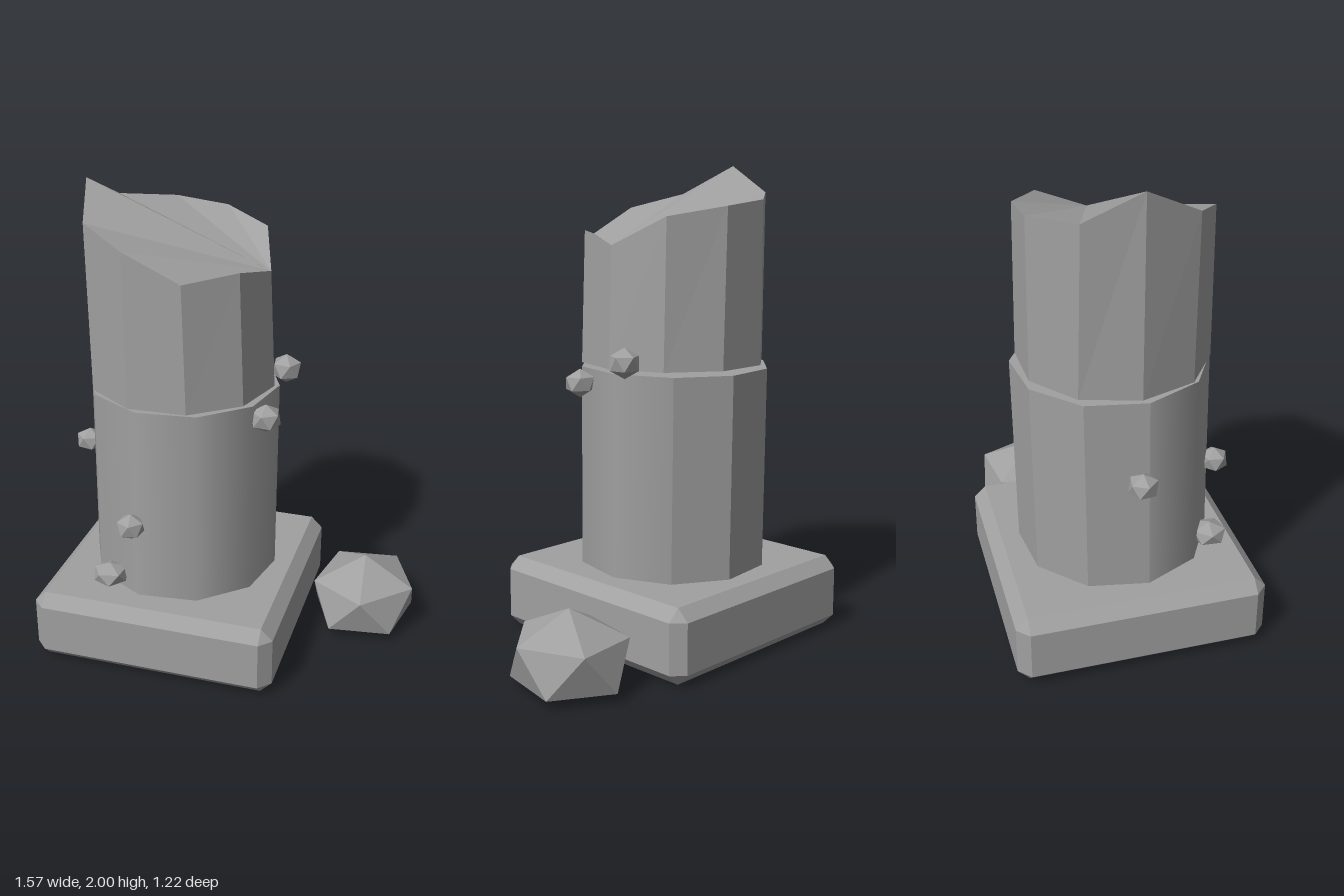
import * as THREE from 'three';
import { ConvexGeometry } from 'three/addons/geometries/ConvexGeometry.js';

const stone = new THREE.MeshStandardMaterial({ color: 0xa0a0a0 });
stone.name = 'grey stone';
const deg = Math.PI / 180;
const V = (x, y, z) => new THREE.Vector3(x, y, z);

function add(parent, name, geometry, x = 0, y = 0, z = 0) {
  const mesh = new THREE.Mesh(geometry, stone);
  mesh.name = name;
  mesh.position.set(x, y, z);
  parent.add(mesh);
  return mesh;
}

// Box with every edge and corner cut off flat
function chamferedBox(w, h, d, c) {
  const pts = [];
  for (const sx of [-1, 1]) for (const sy of [-1, 1]) for (const sz of [-1, 1]) {
    const [x, y, z] = [sx * w / 2, sy * h / 2, sz * d / 2];
    pts.push(
      V(x, y - sy * c, z - sz * c),
      V(x - sx * c, y, z - sz * c),
      V(x - sx * c, y - sy * c, z));
  }
  return new ConvexGeometry(pts);
}

// Twenty-sided pebble with a vertex on top; nothing reaches below the floor
function pebble(rx, ry, rz, turn = 0, floor = -1) {
  const pts = [V(0, ry, 0)];
  if (floor < -ry) pts.push(V(0, -ry, 0));
  for (let i = 0; i < 10; i++) {
    const a = turn + i * 36 * deg;
    const y = (i % 2 ? -0.447 : 0.447) * ry;
    pts.push(V(0.894 * rx * Math.cos(a), Math.max(y, floor), 0.894 * rz * Math.sin(a)));
  }
  return new ConvexGeometry(pts);
}

// Ten-sided drum, rounded in shading at the front and faceted at the back
function lowerDrum() {
  const group = new THREE.Group();
  group.name = 'lowerDrum';
  const r = 0.405, h = 0.85;
  add(group, 'roundedSide',
    new THREE.CylinderGeometry(r, r, h, 6, 1, true, -72 * deg, 216 * deg), 0, h / 2);
  const facets = new THREE.CylinderGeometry(r, r, h, 4, 1, true, 144 * deg, 144 * deg).toNonIndexed();
  facets.computeVertexNormals();
  add(group, 'facetedSide', facets, 0, h / 2);
  add(group, 'drumTop', new THREE.CircleGeometry(r, 10, Math.PI / 2), 0, h).rotation.x = -Math.PI / 2;
  add(group, 'drumBottom', new THREE.CircleGeometry(r, 10, Math.PI / 2)).rotation.x = Math.PI / 2;
  return group;
}

// Ten-sided drum with a jagged, slanting broken top
function brokenDrum() {
  const top = [
    [-0.555, 2.0, 0.09], [-0.437, 1.88, 0.3], [-0.213, 1.82, 0.387], [0.015, 1.71, 0.335],
    [0.17, 1.73, 0.155], [0.19, 1.675, -0.08], [0.07, 1.79, -0.29], [-0.16, 1.83, -0.38],
    [-0.38, 1.855, -0.33], [-0.55, 1.885, -0.14],
  ].map(p => V(...p));
  const n = top.length;
  const bottom = top.map((_, i) => {
    const a = (-77 + 36 * i) * deg;
    return V(-0.172 + 0.393 * Math.sin(a), 1.18, 0.393 * Math.cos(a));
  });
  const pts = [];
  for (let i = 0; i < n; i++) {
    const j = (i + 1) % n;
    pts.push(bottom[i], bottom[j], top[j], bottom[i], top[j], top[i]);
  }
  // Break surface fans out from its lowest corner
  for (let k = 1; k < n - 1; k++) {
    const a = (5 + k) % n, b = (6 + k) % n;
    pts.push(top[5], top[a], top[b], bottom[5], bottom[b], bottom[a]);
  }
  const geometry = new THREE.BufferGeometry().setFromPoints(pts);
  geometry.computeVertexNormals();
  return geometry;
}

export function createModel() {
  const model = new THREE.Group();
  model.name = 'brokenColumn';

  // Plinth
  add(model, 'plinth', chamferedBox(1.054, 0.312, 1.054, 0.05), -0.172, 0.156, 0).rotation.y = 11.5 * deg;

  // Shaft, its lower drum leaning slightly
  const drum = lowerDrum();
  drum.position.set(-0.172, 0.317, 0);
  drum.rotation.x = -0.012;
  model.add(drum);
  add(model, 'brokenUpperDrum', brokenDrum());

  // Large fallen stone beside the plinth
  add(model, 'fallenStone', pebble(0.255, 0.2, 0.272, 0, -0.08), 0.56, 0.12, -0.35);

  // Chips sticking out of the shaft: x, y, z, radius, height, turn
  const chips = [
    [-0.6, 0.825, 0.09, 0.065, 0.055, 0.3],
    [-0.185, 0.667, 0.43, 0.063, 0.057, 1.2],
    [-0.315, 0.385, 0.4, 0.08, 0.052, 0.5],
    [0.25, 1.107, 0.07, 0.068, 0.06, 0.2],
    [0.21, 1.217, -0.205, 0.067, 0.063, 0.9],
  ];
  chips.forEach(([x, y, z, r, h, turn], i) =>
    add(model, `stoneChip${i + 1}`, pebble(r, h, r, turn), x, y, z));

  return model;
}
